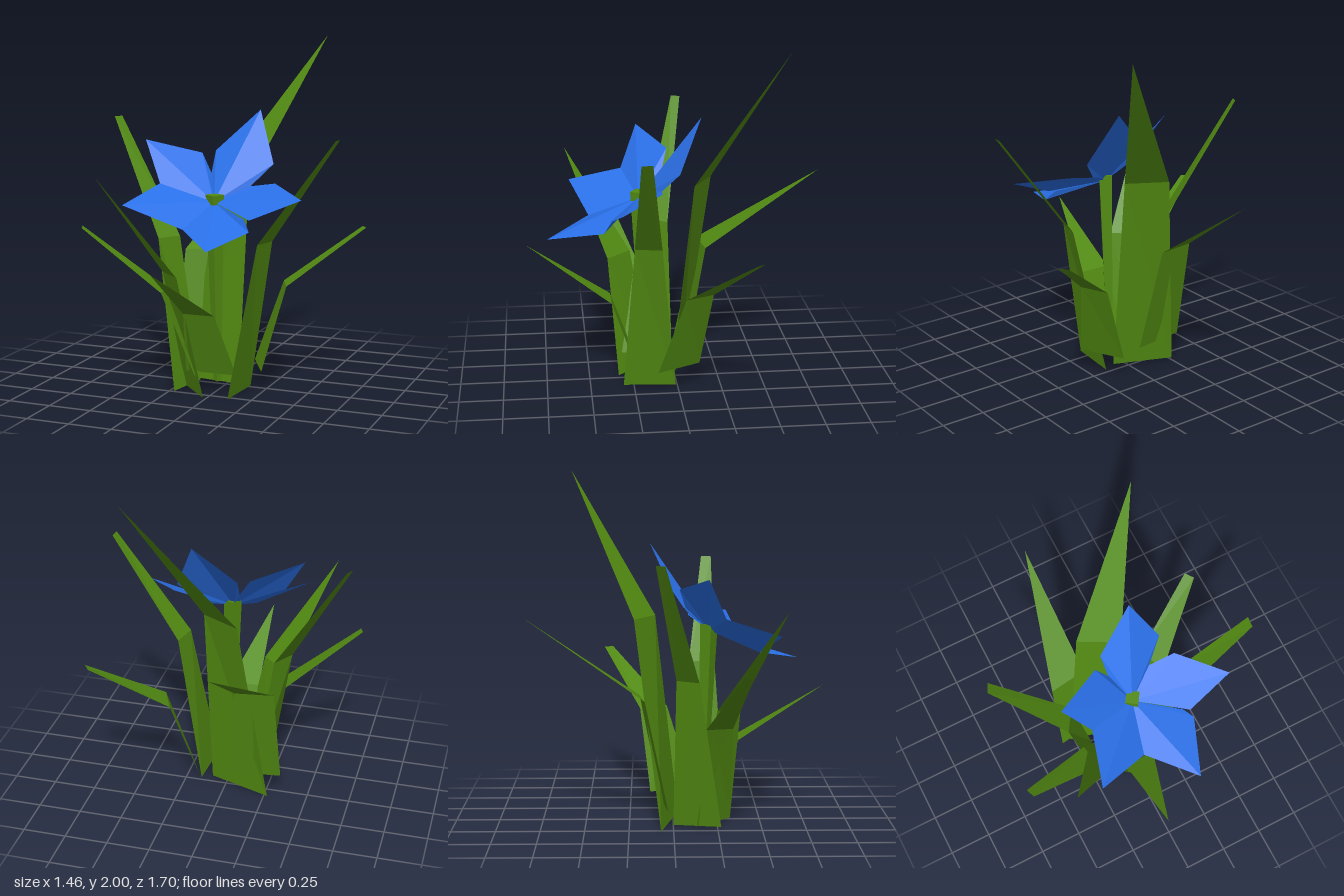
import * as THREE from 'three';

const material = (color) => new THREE.MeshStandardMaterial({ color, flatShading: true, side: THREE.DoubleSide });

// Flat-faced sheet from a few corner points and their triangles
function sheet(name, points, faces, mat) {
  const geometry = new THREE.BufferGeometry();
  geometry.setAttribute('position', new THREE.Float32BufferAttribute(points.flat(), 3));
  geometry.setIndex(faces.flat());
  const flat = geometry.toNonIndexed();
  flat.computeVertexNormals();
  const mesh = new THREE.Mesh(flat, mat);
  mesh.name = name;
  return mesh;
}

// Leaf blade: base pair, bend pair, then a tip point or a blunt tip pair
function leaf(name, points, mat) {
  const faces = [[0, 1, 3], [0, 3, 2]];
  if (points.length === 5) faces.push([2, 3, 4]);
  else faces.push([2, 3, 5], [2, 5, 4]);
  return sheet(name, points, faces, mat);
}

export function createModel() {
  const group = new THREE.Group();
  const green = material(0x528a12);
  const blue = material(0x2a70e8);

  // Leaves around the stem
  const leaves = {
    backLeaf: [[-0.34, 0.13, -0.03], [-0.03, 0.13, -0.07], [-0.32, 0.75, -0.16], [-0.1, 0.75, -0.19], [-0.13, 1.2, -0.85]],
    tallLeaf: [[-0.27, 0, -0.07], [0.09, 0.02, 0.03], [-0.12, 1.18, -0.22], [0.1, 1.18, -0.1], [0.41, 2, -0.59]],
    leftLeaf: [[0.155, 0.01, 0.01], [0.13, 0.01, 0.31], [0.315, 0.88, 0.1], [0.28, 0.88, 0.25], [0.725, 1.47, 0.185], [0.72, 1.47, 0.245]],
    backLeftLeaf: [[0.13, 0.13, -0.13], [0.26, 0.13, 0.12], [0.285, 0.6, -0.19], [0.355, 0.6, -0.03], [0.69, 0.91, -0.41], [0.725, 0.91, -0.36]],
    rightLeaf: [[-0.16, 0.01, 0], [-0.21, 0.01, 0.27], [-0.28, 0.86, 0.015], [-0.36, 0.86, 0.14], [-0.695, 1.53, -0.1], [-0.72, 1.53, -0.05]],
    lowRightLeaf: [[-0.1, 0.13, 0.06], [-0.06, 0.13, 0.33], [-0.29, 0.585, 0.18], [-0.26, 0.585, 0.33], [-0.73, 0.945, 0.36], [-0.71, 0.94, 0.41]],
    frontRightLeaf: [[-0.2, 0.01, 0.13], [-0.01, 0.01, 0.33], [-0.29, 0.69, 0.24], [-0.145, 0.69, 0.38], [-0.53, 1.27, 0.61]],
    frontLeaf: [[-0.15, 0.13, 0.24], [0.155, 0.13, 0.24], [-0.11, 0.49, 0.37], [0.075, 0.49, 0.37], [-0.09, 0.805, 0.85]],
  };
  for (const [name, points] of Object.entries(leaves)) group.add(leaf(name, points, green));

  // Petals: inner corner, shoulder, tip, shoulder, inner corner, fanned from the flower centre
  const centre = [0.01, 1.1, 0.21];
  const petals = [
    [[-0.06, 1.24, 0.07], [-0.13, 1.35, 0.035], [-0.41, 1.43, 0.19], [-0.28, 1.2, 0.29]],
    [[0.18, 1.18, 0.09], [0.285, 1.3, 0], [0.16, 1.59, -0.13], [-0.07, 1.36, -0.02], [-0.065, 1.24, 0.06]],
    [[0.14, 1.175, 0.09], [0.33, 1.205, 0.1], [0.56, 1.155, 0.33], [0.285, 1.04, 0.39]],
    [[0.25, 1.04, 0.37], [0.295, 0.98, 0.42], [0.175, 0.92, 0.73], [-0.06, 0.985, 0.49]],
    [[-0.28, 1.2, 0.29], [-0.37, 1.115, 0.59], [-0.06, 0.985, 0.49]],
  ];
  petals.forEach((rim, n) => {
    const faces = rim.slice(1).map((_, i) => [0, i + 1, i + 2]);
    group.add(sheet(`petal${n + 1}`, [centre, ...rim], faces, blue));
  });

  // Four-sided stem, widening up to the flower's heart
  const bottom = new THREE.Vector3(0.015, 0.07, 0.17);
  const top = new THREE.Vector3(0.013, 1.14, 0.205);
  const axis = top.clone().sub(bottom);
  const stem = new THREE.Mesh(new THREE.CylinderGeometry(0.052, 0.022, axis.length(), 4), green);
  stem.geometry.rotateY(0.2);
  stem.quaternion.setFromUnitVectors(new THREE.Vector3(0, 1, 0), axis.normalize());
  stem.position.copy(bottom).add(top).multiplyScalar(0.5);
  stem.name = 'stem';
  group.add(stem);

  return group;
}
